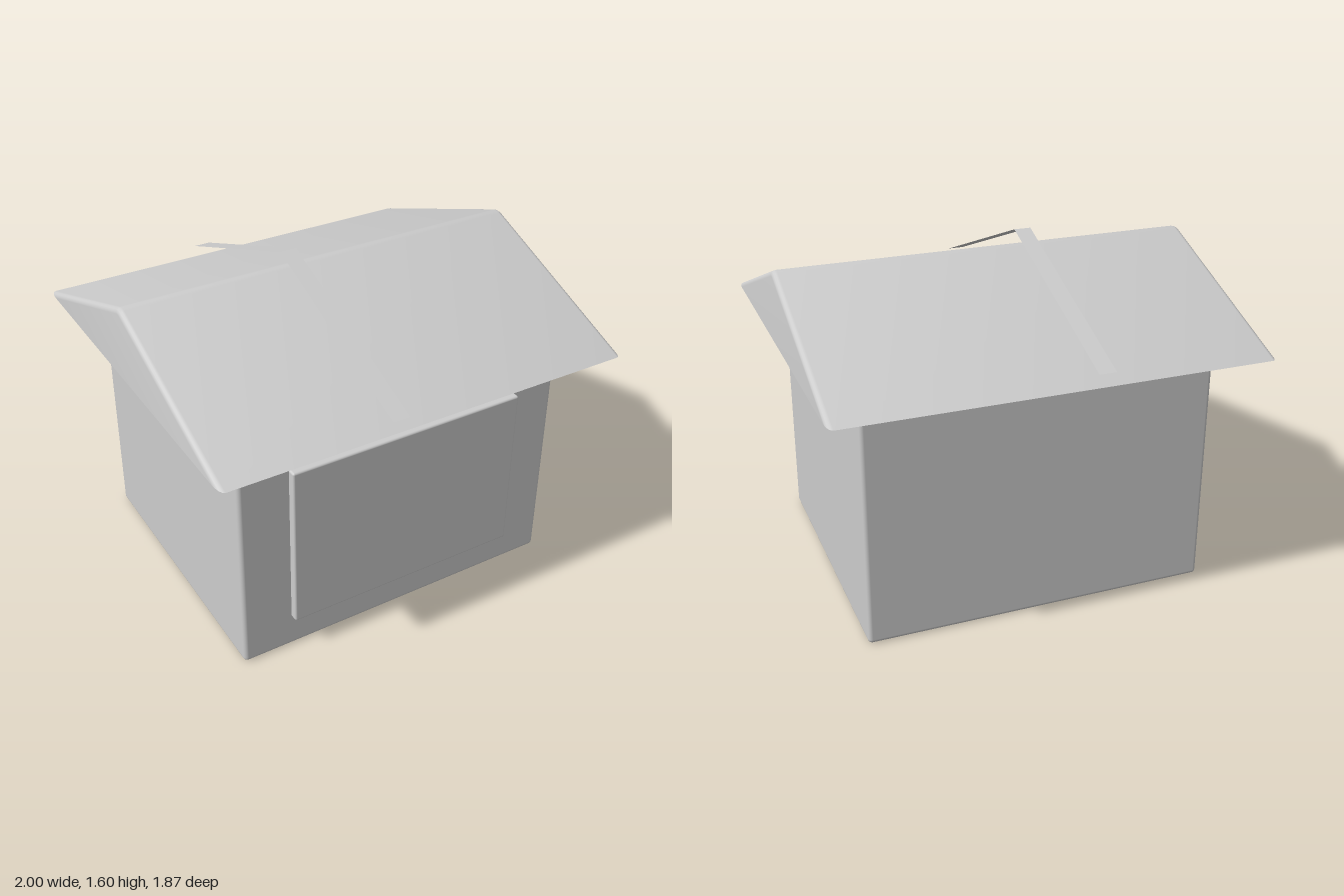
import * as THREE from 'three';
import { RoundedBoxGeometry } from 'three/addons/geometries/RoundedBoxGeometry.js';
import { toCreasedNormals } from 'three/addons/utils/BufferGeometryUtils.js';

const EAVE_Y = 1.18, EAVE_Z = 0.937, RIDGE_Y = 1.53;

// Gable section, back eave to front eave over a rounded ridge, pulled in by d.
function roofSection(d) {
  const radius = 0.07, centreY = RIDGE_Y - radius, rise = centreY - EAVE_Y;
  const pitch = Math.atan2(rise, EAVE_Z) + Math.asin(radius / Math.hypot(rise, EAVE_Z));
  const eave = (rise * Math.cos(pitch) + radius - d) / Math.sin(pitch);
  const points = [[-eave, EAVE_Y]];
  for (let i = -3; i <= 3; i++) {
    const a = (pitch * i) / 3;
    points.push([(radius - d) * Math.sin(a), centreY + (radius - d) * Math.cos(a)]);
  }
  points.push([eave, EAVE_Y]);
  return points;
}

// Roof shell open underneath, with closed gables and softened gable edges.
function roofGeometry() {
  const bevel = 0.025, steps = 4, rings = [];
  for (const side of [-1, 1]) {
    for (let k = 0; k <= steps; k++) {
      const t = ((side < 0 ? steps - k : k) / steps) * Math.PI / 2;
      rings.push({ x: side * (1 - bevel + bevel * Math.sin(t)), section: roofSection(bevel * (1 - Math.cos(t))) });
    }
  }
  const position = [], index = [];
  for (const { x, section } of rings) for (const [z, y] of section) position.push(x, y, z);
  const n = rings[0].section.length, last = (rings.length - 1) * n;
  for (let i = 0; i < rings.length - 1; i++) {
    for (let j = 0; j < n - 1; j++) {
      const a = i * n + j, b = a + 1, c = a + n, d = c + 1;
      index.push(a, b, c, b, d, c);
    }
  }
  for (let j = 1; j < n - 1; j++) index.push(0, j + 1, j, last, last + j, last + j + 1);
  const geometry = new THREE.BufferGeometry();
  geometry.setAttribute('position', new THREE.Float32BufferAttribute(position, 3));
  geometry.setIndex(index);
  return toCreasedNormals(geometry, 0.5);
}

export function createModel() {
  const model = new THREE.Group();
  model.name = 'house';
  const grey = new THREE.MeshStandardMaterial({ color: 0xcccccc, side: THREE.DoubleSide });
  grey.name = 'light grey';

  function add(name, geometry, x = 0, y = 0, z = 0) {
    const mesh = new THREE.Mesh(geometry, grey);
    mesh.name = name;
    mesh.position.set(x, y, z);
    model.add(mesh);
    return mesh;
  }

  // Walls and the raised front panel
  add('walls', new RoundedBoxGeometry(1.64, 1.18, 1.41, 3, 0.02), 0, 0.59, 0);
  add('frontPanel', new RoundedBoxGeometry(1.17, 0.82, 0.045, 3, 0.01), 0, 0.59, 0.732);

  // Roof
  add('roof', roofGeometry());

  // Flat strips floating just above each slope
  const topY = 1.6, bottomY = 1.24, run = 0.935;
  const length = Math.hypot(run, topY - bottomY), tilt = Math.atan2(topY - bottomY, run);
  for (const side of [1, -1]) {
    const strip = new THREE.PlaneGeometry(0.08, length);
    strip.rotateX(-Math.PI / 2 + side * tilt);
    add(side > 0 ? 'frontRoofStrip' : 'backRoofStrip', strip, -0.18, (topY + bottomY) / 2, side * run / 2);
  }
  return model;
}
